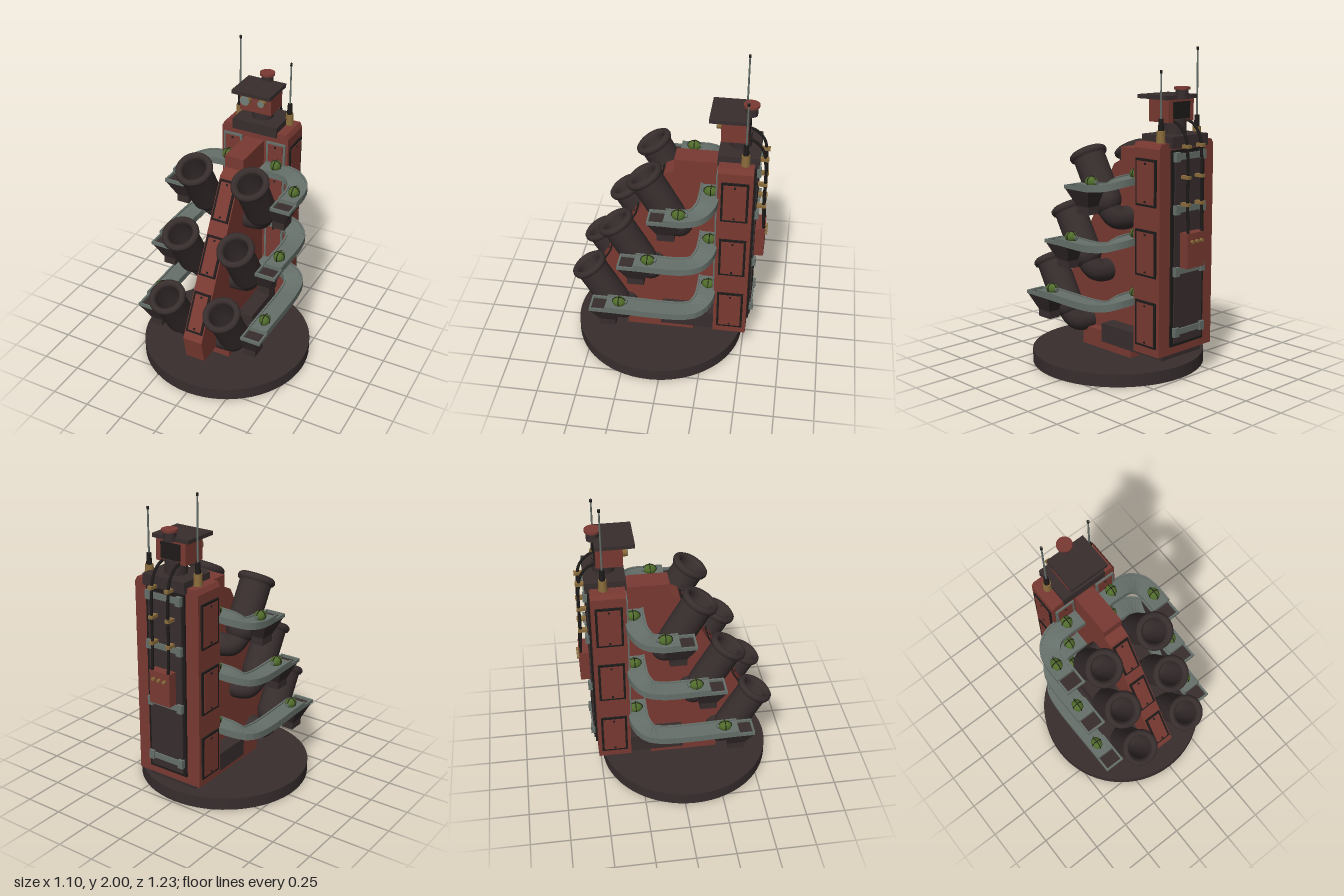
import * as THREE from 'three';

const mat = (name, color) => new THREE.MeshStandardMaterial({ name, color });

export function createModel() {
  const red = mat('brick red', 0x7a3a32), dark = mat('dark iron', 0x382e2e), black = mat('black trim', 0x1e1b1a);
  const grey = mat('grey steel', 0x66706a), green = mat('olive green', 0x4f6b2a), gold = mat('brass', 0x8c6d3c);
  const glass = mat('lens grey', 0x74807a);
  const root = new THREE.Group();
  root.name = 'mortarTower';

  const add = (name, geo, m, x = 0, y = 0, z = 0, parent = root) => {
    const mesh = new THREE.Mesh(geo, m);
    mesh.name = name;
    mesh.position.set(x, y, z);
    parent.add(mesh);
    return mesh;
  };
  // Box given by its limits on each axis
  const box = (name, m, x0, x1, y0, y1, z0, z1, parent = root) =>
    add(name, new THREE.BoxGeometry(x1 - x0, y1 - y0, z1 - z0), m, (x0 + x1) / 2, (y0 + y1) / 2, (z0 + z1) / 2, parent);
  const cyl = (name, m, r0, r1, h, x, y, z, parent = root, n = 24) =>
    add(name, new THREE.CylinderGeometry(r1, r0, h, n), m, x, y, z, parent);
  const group = (name, x = 0, y = 0, z = 0, parent = root) => {
    const g = new THREE.Group();
    g.name = name;
    g.position.set(x, y, z);
    parent.add(g);
    return g;
  };
  // Bolted hatch facing +z: dark border, coloured cover
  const hatch = (name, w, h, x, y, z, border = black, cover = red) => {
    const g = group(name, x, y, z);
    add('border', new THREE.BoxGeometry(w, h, 0.016), border, 0, 0, 0, g);
    add('cover', new THREE.BoxGeometry(w - 0.028, h - 0.028, 0.022), cover, 0, 0, 0, g);
    for (const s of [-1, 1])
      add('bolt', new THREE.BoxGeometry(0.012, 0.012, 0.03), black, 0, s * (h / 2 - 0.028), 0, g);
    return g;
  };
  // Flat strip swept along a path, shifted sideways by off and upwards by lift
  const strip = (curve, width, thick, off, lift, n = 28) => {
    const pos = [], idx = [];
    for (let i = 0; i <= n; i++) {
      const p = curve.getPointAt(i / n), t = curve.getTangentAt(i / n);
      const sx = t.z, sz = -t.x, l = Math.hypot(sx, sz);
      for (const [a, b] of [[-1, -1], [1, -1], [1, 1], [-1, 1]]) {
        const d = (off + a * width / 2) / l;
        pos.push(p.x + sx * d, p.y + lift + b * thick / 2, p.z + sz * d);
      }
      if (i < n) for (let k = 0; k < 4; k++) {
        const a = i * 4 + k, b = i * 4 + (k + 1) % 4;
        idx.push(a, b, b + 4, a, b + 4, a + 4);
      }
    }
    const e = n * 4;
    idx.push(0, 2, 1, 0, 3, 2, e, e + 1, e + 2, e, e + 2, e + 3);
    const geo = new THREE.BufferGeometry();
    geo.setAttribute('position', new THREE.Float32BufferAttribute(pos, 3));
    geo.setIndex(idx);
    const flat = geo.toNonIndexed();
    flat.computeVertexNormals();
    return flat;
  };

  // Base disc and plinth
  cyl('baseDisc', dark, 0.55, 0.55, 0.08, 0, 0.04, 0.065, root, 64);
  box('plinth', red, -0.12, 0.12, 0.08, 0.2, -0.17, 0.27);
  box('lowerHousing', dark, -0.17, 0.17, 0.15, 0.27, -0.49, 0.04);

  // Central sloping fin
  const fin = new THREE.Shape([[0.5, 0.2], [0.53, 0.36], [0.03, 1.28], [-0.03, 1.31], [-0.03, 1.39], [-0.32, 1.39], [-0.32, 0.2]]
    .map(([z, y]) => new THREE.Vector2(-z, y)));
  const finGeo = new THREE.ExtrudeGeometry(fin, { depth: 0.13, bevelEnabled: false });
  finGeo.translate(0, 0, -0.065).rotateY(Math.PI / 2);
  add('centralFin', finGeo, red);
  for (const y of [0.52, 0.84, 1.15])
    hatch('finHatch', 0.115, 0.26, 0, y, 0.53 - (y - 0.36) * 0.543).rotation.x = -0.498;

  // Rear tower with bevelled top
  box('tower', red, -0.23, 0.23, 0.19, 1.43, -0.52, -0.31);
  const crown = new THREE.BoxGeometry(0.46, 0.03, 0.21), cp = crown.attributes.position;
  for (let i = 0; i < cp.count; i++) if (cp.getY(i) > 0) cp.setX(i, cp.getX(i) * 0.93);
  crown.computeVertexNormals();
  add('towerCrown', crown, red, 0, 1.445, -0.415);
  for (const s of [-1, 1]) {
    for (const y of [0.38, 0.81, 1.23])
      hatch('sideHatch', 0.165, 0.28, s * 0.232, y, -0.415).rotation.y = s * Math.PI / 2;
    for (const y of [0.65, 1.01, 1.32])
      hatch('frontPanel', 0.13, y > 1.2 ? 0.15 : 0.28, s * 0.15, y, -0.307, grey);
  }

  // Rear service panel
  box('rearPanelBorder', black, -0.14, 0.14, 0.24, 1.42, -0.532, -0.515);
  box('rearPanel', dark, -0.12, 0.12, 0.26, 1.4, -0.54, -0.515);
  for (const y of [0.33, 0.7, 1.07, 1.38]) {
    box('rearCrossBar', grey, -0.12, 0.12, y - 0.018, y + 0.018, -0.55, -0.53);
    for (const s of [-1, 1]) box('rearBolt', grey, s * 0.11 - 0.018, s * 0.11 + 0.018, y - 0.028, y + 0.028, -0.558, -0.53);
  }
  box('junctionBox', red, -0.075, 0.075, 0.72, 0.93, -0.6, -0.535);
  for (const x of [-0.04, 0, 0.04])
    cyl('junctionButton', gold, 0.011, 0.011, 0.02, x, 0.88, -0.605, root, 12).rotation.x = Math.PI / 2;
  for (const s of [-1, 1]) {
    const path = new THREE.CatmullRomCurve3([[1.58, -0.46], [1.56, -0.51], [1.5, -0.56], [1.38, -0.58], [1.1, -0.582], [0.92, -0.59]]
      .map(([y, z]) => new THREE.Vector3(s * 0.06, y, z)));
    add('cable', new THREE.TubeGeometry(path, 32, 0.009, 8), black);
    for (const y of [1.44, 1.26, 1.1])
      box('cableClip', gold, s * 0.06 - 0.014, s * 0.06 + 0.014, y - 0.01, y + 0.01, -0.597, -0.54);
  }

  // Sensor head
  box('headDeck', dark, -0.152, 0.152, 1.43, 1.5, -0.545, -0.3);
  cyl('neck', dark, 0.068, 0.068, 0.1, 0, 1.54, -0.42);
  box('head', red, -0.107, 0.107, 1.57, 1.705, -0.47, -0.31);
  box('headRearHatch', black, -0.07, 0.07, 1.59, 1.69, -0.476, -0.465);
  box('headRoof', dark, -0.13, 0.13, 1.703, 1.727, -0.475, -0.24);
  cyl('capStem', dark, 0.038, 0.038, 0.06, 0, 1.735, -0.475);
  cyl('cap', red, 0.048, 0.048, 0.015, 0, 1.768, -0.475);
  for (const [x, r] of [[-0.06, 0.034], [0.05, 0.023]]) {
    cyl('lensBarrel', gold, r, r, 0.03, x, 1.65, -0.297).rotation.x = Math.PI / 2;
    cyl('lens', glass, r * 0.93, r * 0.93, 0.006, x, 1.65, -0.281).rotation.x = Math.PI / 2;
  }

  // Antennas
  for (const [x, z, top] of [[-0.17, -0.44, 2], [0.165, -0.465, 1.875]]) {
    const a = group('antenna', x, 0, z);
    cyl('antennaFoot', gold, 0.029, 0.025, 0.075, 0, 1.493, 0, a, 8);
    cyl('antennaSocket', black, 0.018, 0.014, 0.07, 0, 1.565, 0, a, 12);
    cyl('antennaRod', grey, 0.006, 0.005, top - 1.6, 0, (top + 1.6) / 2, 0, a, 8);
    cyl('antennaTip', black, 0.008, 0.008, 0.018, 0, top - 0.009, 0, a, 8);
  }

  // Barrel profile, muzzle at the origin, axis along y
  const profile = [[0, -0.28], [0.07, -0.28], [0.074, -0.02], [0.08, 0], [0.098, 0.012], [0.115, 0], [0.119, -0.016], [0.112, -0.034], [0.1, -0.04], [0.1, -0.32]];
  for (let i = 1; i <= 6; i++) profile.push([0.1 * Math.cos(i * Math.PI / 12), -0.32 - 0.1 * Math.sin(i * Math.PI / 12)]);
  const barrelGeo = new THREE.LatheGeometry(profile.reverse().map(([r, y]) => new THREE.Vector2(Math.max(r, 0), y)), 36);

  const grenade = (x, y, z, parent) => {
    const g = group('grenade', x, y, z, parent);
    add('grenadeBody', new THREE.SphereGeometry(0.034, 16, 12), green, 0, 0, 0, g).scale.z = 1.25;
    add('grenadeBand', new THREE.TorusGeometry(0.034, 0.003, 6, 20), black, 0, 0, 0, g);
    const band = add('grenadeBand', new THREE.TorusGeometry(0.034, 0.003, 6, 20), black, 0, 0, 0, g);
    band.rotation.y = Math.PI / 2;
    band.scale.x = 1.25;
    cyl('grenadeCap', grey, 0.014, 0.012, 0.016, 0, 0, -0.044, g, 10).rotation.x = Math.PI / 2;
  };

  // Three tiers of barrels, arms and trays on each side
  for (let tier = 0; tier < 3; tier++) for (const s of [-1, 1]) {
    const my = 0.626 + 0.363 * tier, mz = 0.505 - 0.183 * tier;
    const mortar = group(s > 0 ? 'leftMortar' : 'rightMortar', s * 0.19, my, mz);
    mortar.rotation.x = Math.PI / 6;
    add('barrel', barrelGeo, dark, 0, 0, 0, mortar);
    const elbow = new THREE.CatmullRomCurve3([[0, -0.32], [-0.005, -0.39], [-0.035, -0.44], [-0.085, -0.455], [-0.15, -0.455]]
      .map(([x, y]) => new THREE.Vector3(s * x, y, 0)));
    add('elbow', new THREE.TubeGeometry(elbow, 20, 0.072, 20), dark, 0, 0, 0, mortar);

    const y = 0.457 + 0.363 * tier, zf = 0.46 - 0.188 * tier;
    const arm = new THREE.CatmullRomCurve3([[0.08, 0.045, -0.258], [0.2, 0.045, -0.258], [0.29, 0.035, -0.248], [0.352, 0.012, -0.2], [0.37, 0, -0.12], [0.37, 0, zf - 0.1]]
      .map(([x, dy, z]) => new THREE.Vector3(s * x, y + dy, z)), false, 'centripetal');
    const side = group(s > 0 ? 'leftArm' : 'rightArm');
    add('armPlate', strip(arm, 0.116, 0.028, 0, 0), grey, 0, 0, 0, side);
    for (const o of [-1, 1]) add('armLip', strip(arm, 0.012, 0.044, o * 0.056, 0), grey, 0, 0, 0, side);
    grenade(s * 0.375, y + 0.032, zf - 0.185, side);
    grenade(s * 0.17, y + 0.075, -0.268, side);

    // Tray: tapering hopper, foot and steel rim
    const hopper = new THREE.BoxGeometry(0.13, 0.11, 0.21), hp = hopper.attributes.position;
    for (let i = 0; i < hp.count; i++) if (hp.getY(i) < 0) {
      hp.setZ(i, hp.getZ(i) * 0.5);
      if (hp.getX(i) * s > 0) hp.setX(i, s * 0.015);
    }
    hopper.computeVertexNormals();
    add('hopper', hopper, dark, s * 0.362, y - 0.073, zf - 0.105, side);
    const foot = box('hopperFoot', dark, -0.04, 0.04, -0.025, 0.025, -0.053, 0.053, side);
    foot.position.set(s * 0.335, y - 0.15, zf - 0.105);
    for (const [x, z, w, d] of [[0.365, zf - 0.006, 0.134, 0.012], [0.425, zf - 0.105, 0.012, 0.21], [0.305, zf - 0.105, 0.012, 0.21]])
      add('trayRim', new THREE.BoxGeometry(w, 0.022, d), grey, s * x, y - 0.012, z, side);
  }
  return root;
}
